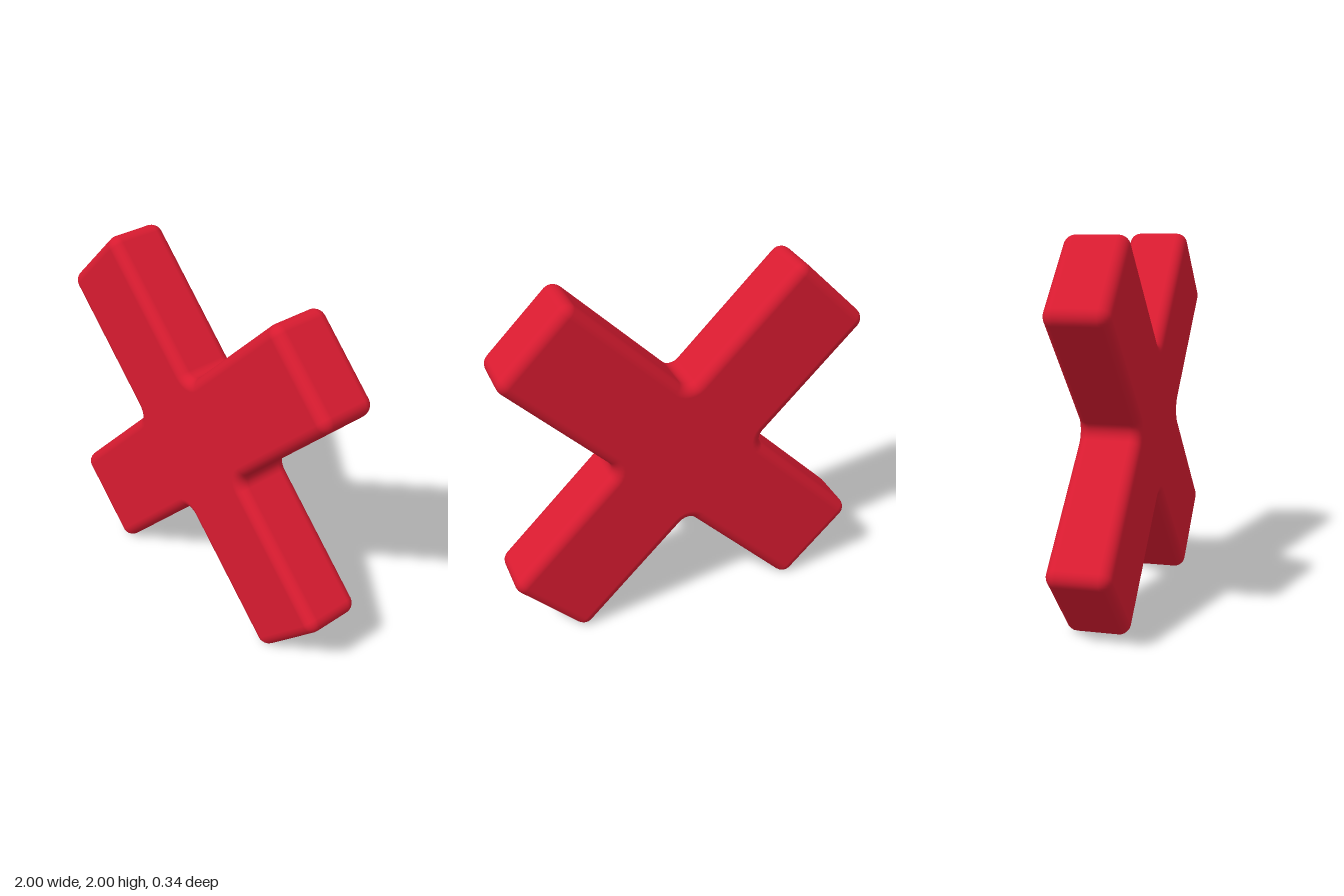
import * as THREE from 'three';

const ARM_LENGTH = 1.167, HALF_WIDTH = 0.283, HALF_DEPTH = 0.168;
const CORNER = 0.062, BEVEL = 0.06;
const STEPS = 6;

// Counter-clockwise outline of the diagonal cross: points with outward normals.
function crossOutline() {
  const L = ARM_LENGTH, w = HALF_WIDTH, r = CORNER;
  // centre x, centre y, start angle, end angle, signed radius (negative = inner corner)
  const corners = [
    [L - r, r - w, -90, 0, r],
    [L - r, w - r, 0, 90, r],
    [w + r, w + r, 90, 0, -r],
  ];
  const outline = [];
  for (let arm = 0; arm < 4; arm++) {
    const turn = Math.PI / 4 + arm * Math.PI / 2;
    for (const [cx, cy, from, to, radius] of corners) {
      for (let i = 0; i <= STEPS; i++) {
        const a = THREE.MathUtils.degToRad(from + (to - from) * i / STEPS);
        const normal = new THREE.Vector2(Math.cos(a), Math.sin(a));
        const point = new THREE.Vector2(cx, cy).addScaledVector(normal, radius);
        const origin = new THREE.Vector2();
        outline.push({
          point: point.rotateAround(origin, turn),
          normal: normal.rotateAround(origin, turn),
        });
      }
    }
  }
  return outline;
}

// Sweeps the outline through depth with rounded front and back edges.
function roundedCrossGeometry() {
  const outline = crossOutline();
  const n = outline.length;
  const positions = [], normals = [], indices = [];

  // Rings run from the back face to the front face.
  const rings = [];
  for (const side of [-1, 1]) {
    for (let i = 0; i <= STEPS; i++) {
      const t = (side < 0 ? i - STEPS : i) / STEPS * Math.PI / 2;
      rings.push({
        inset: BEVEL * (1 - Math.cos(t)),
        z: side * (HALF_DEPTH - BEVEL) + BEVEL * Math.sin(t),
        out: Math.cos(t),
        forward: Math.sin(t),
      });
    }
  }
  for (const { inset, z, out, forward } of rings) {
    for (const { point, normal } of outline) {
      positions.push(point.x - normal.x * inset, point.y - normal.y * inset, z);
      normals.push(normal.x * out, normal.y * out, forward);
    }
  }

  // Side walls and rounded edges
  for (let k = 0; k < rings.length - 1; k++) {
    for (let i = 0; i < n; i++) {
      const j = (i + 1) % n;
      const a = k * n + i, b = k * n + j;
      indices.push(a, b, b + n, a, b + n, a + n);
    }
  }

  // Flat front and back faces
  const face = outline.map(({ point, normal }) =>
    point.clone().addScaledVector(normal, -BEVEL));
  const front = (rings.length - 1) * n;
  for (const [a, b, c] of THREE.ShapeUtils.triangulateShape(face, [])) {
    indices.push(front + a, front + b, front + c, c, b, a);
  }

  const geometry = new THREE.BufferGeometry();
  geometry.setAttribute('position', new THREE.Float32BufferAttribute(positions, 3));
  geometry.setAttribute('normal', new THREE.Float32BufferAttribute(normals, 3));
  geometry.setIndex(indices);
  return geometry;
}

export function createModel() {
  const group = new THREE.Group();
  group.name = 'crossMark';
  const cross = new THREE.Mesh(
    roundedCrossGeometry(),
    new THREE.MeshStandardMaterial({ color: 0xd81b30 }),
  );
  cross.name = 'cross';
  cross.position.y = 1;
  group.add(cross);
  return group;
}
